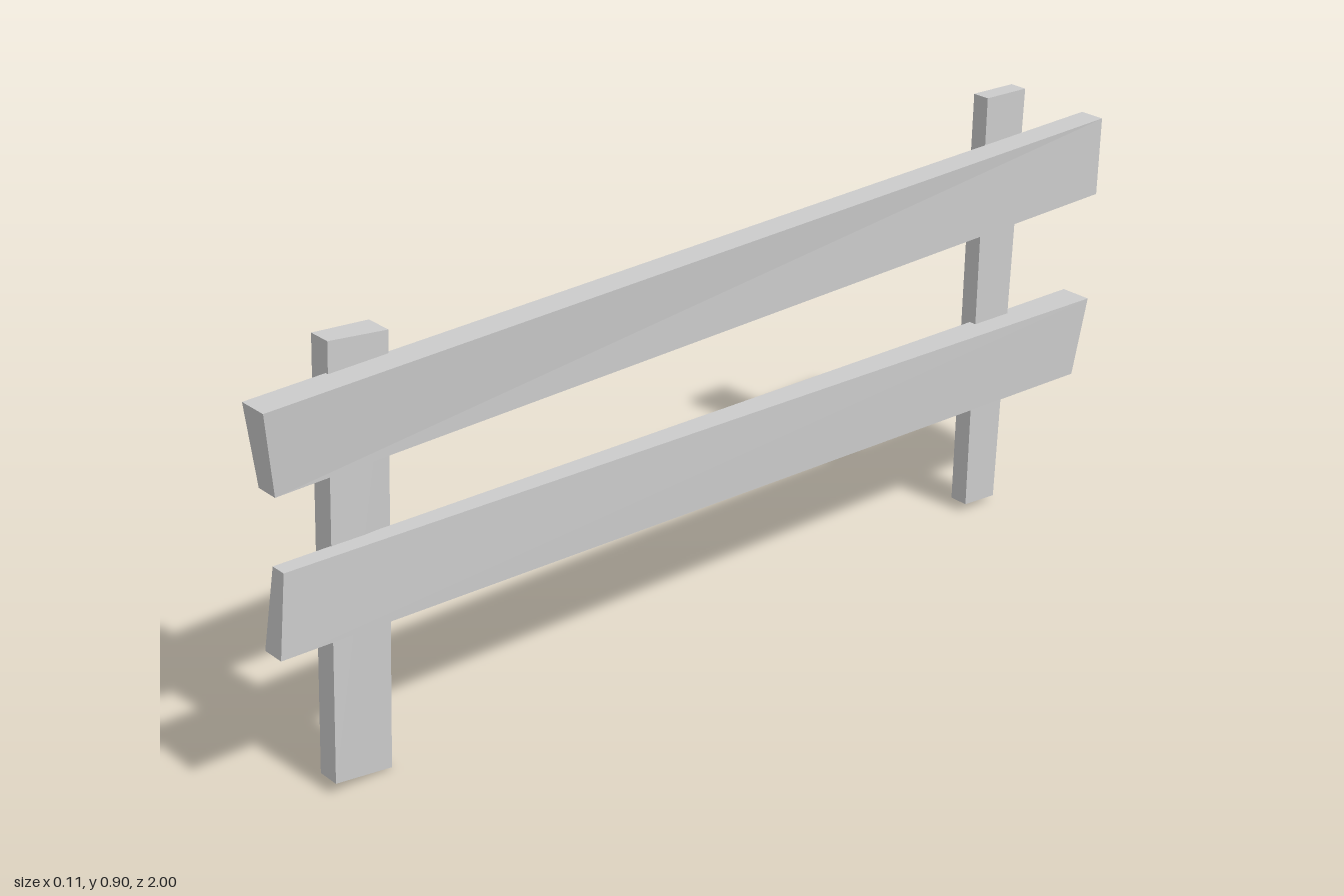
import * as THREE from 'three';

const material = new THREE.MeshStandardMaterial({ color: 0xcccccc, flatShading: true });

// Hand-hewn plank: a unit box whose corners move to the given end sections.
// Each end holds four corners [x, y, z]: (-u,-v), (+u,-v), (-u,+v), (+u,+v);
// axis is the box direction ('y' or 'z') running from the start to the end.
function plank(name, axis, start, end) {
  const geometry = new THREE.BoxGeometry(1, 1, 1);
  const p = geometry.attributes.position;
  for (let i = 0; i < p.count; i++) {
    const along = axis === 'y' ? p.getY(i) : p.getZ(i);
    const across = axis === 'y' ? p.getZ(i) : p.getY(i);
    const corner = (along > 0 ? end : start)[(p.getX(i) > 0 ? 1 : 0) + (across > 0 ? 2 : 0)];
    p.setXYZ(i, ...corner);
  }
  const flat = geometry.toNonIndexed();
  flat.computeVertexNormals();
  const mesh = new THREE.Mesh(flat, material);
  mesh.name = name;
  return mesh;
}

export function createModel() {
  const fence = new THREE.Group();
  fence.name = 'fence';

  // Leaning posts, from foot to top
  fence.add(plank('frontPost', 'y',
    [[-0.046, 0, 0.755], [-0.01, 0, 0.755], [-0.046, 0.025, 0.88], [0, 0.025, 0.88]],
    [[-0.055, 0.84, 0.717], [0, 0.84, 0.717], [-0.046, 0.855, 0.837], [0, 0.855, 0.837]]));
  fence.add(plank('backPost', 'y',
    [[-0.04, 0.01, -0.788], [0, 0.01, -0.788], [-0.04, 0.018, -0.704], [0, 0.018, -0.704]],
    [[-0.04, 0.898, -0.828], [-0.004, 0.898, -0.828], [-0.04, 0.903, -0.72], [-0.004, 0.903, -0.72]]));

  // Crooked rails, from the back end to the front end
  fence.add(plank('upperRail', 'z',
    [[0, 0.648, -0.998], [0.052, 0.648, -0.998], [0, 0.81, -1], [0.053, 0.81, -1]],
    [[-0.007, 0.636, 0.982], [0.04, 0.636, 0.982], [-0.007, 0.796, 1], [0.053, 0.796, 1]]));
  fence.add(plank('lowerRail', 'z',
    [[-0.022, 0.252, -0.965], [0.044, 0.252, -0.965], [-0.02, 0.414, -1], [0.046, 0.414, -1]],
    [[-0.015, 0.33, 0.99], [0.032, 0.33, 0.99], [0, 0.49, 0.972], [0.032, 0.49, 0.972]]));

  return fence;
}
